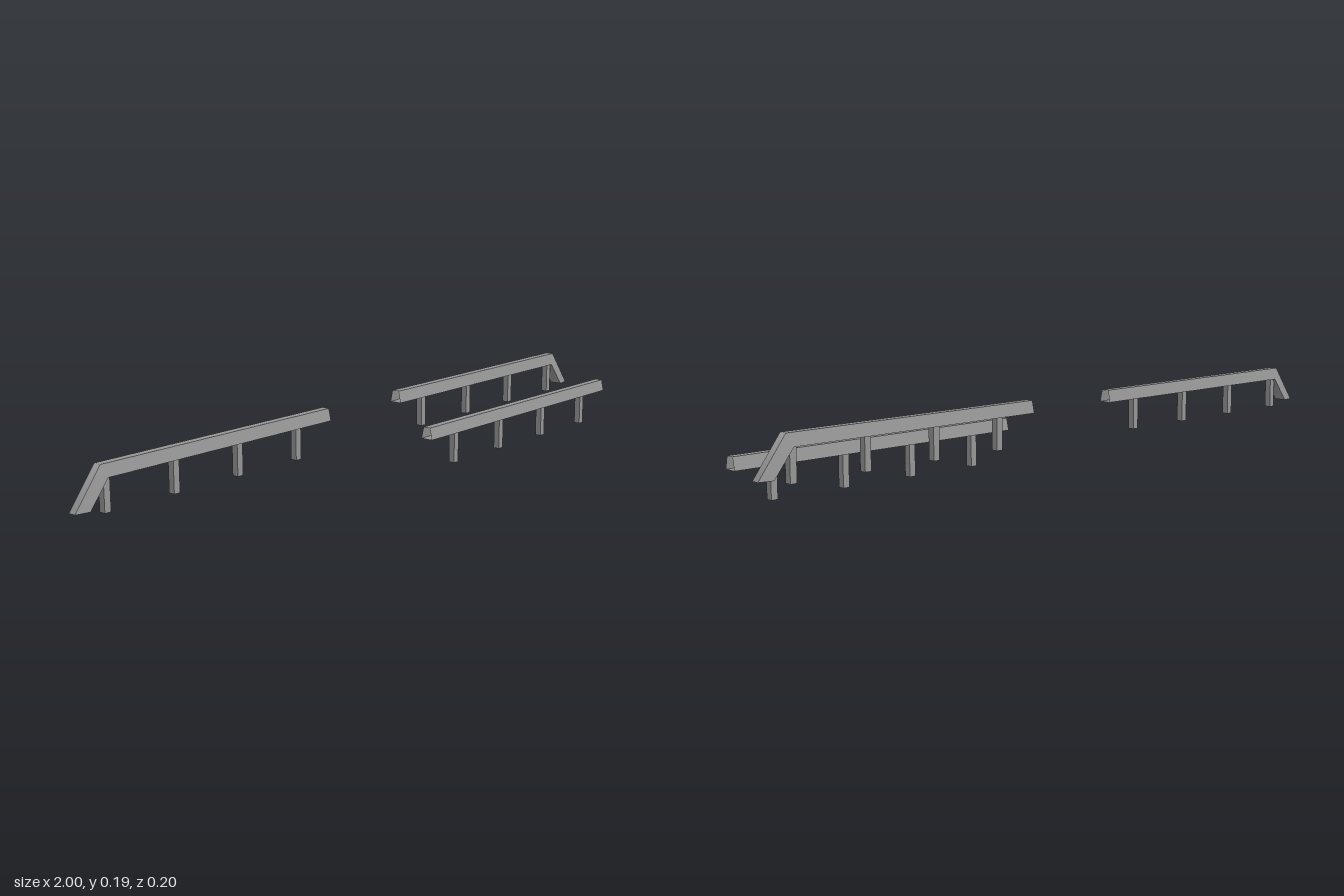
import * as THREE from 'three';

const material = new THREE.MeshStandardMaterial({ color: 0x969696, side: THREE.DoubleSide });
const TOP = 0.011, BOTTOM = 0.0182; // half widths of the trapezoid section
const POST = 0.0185;

// Open-ended trapezoid tube; each station is [topX, topY, bottomX, bottomY], in order of rising x.
// Every side is its own strip, so the long edges stay sharp and the bend is smooth.
function railGeometry(stations) {
  const points = [], index = [];
  for (let side = 0; side < 4; side++) {
    const start = points.length / 3;
    stations.forEach(([tx, ty, bx, by], s) => {
      const corners = [[tx, ty, TOP], [tx, ty, -TOP], [bx, by, -BOTTOM], [bx, by, BOTTOM]];
      points.push(...corners[side], ...corners[(side + 1) % 4]);
      const a = start + s * 2;
      if (s < stations.length - 1) index.push(a, a + 2, a + 1, a + 1, a + 2, a + 3);
    });
  }
  const geometry = new THREE.BufferGeometry();
  geometry.setAttribute('position', new THREE.Float32BufferAttribute(points, 3));
  geometry.setIndex(index);
  geometry.computeVertexNormals();
  return geometry;
}

// One barrier: a rail carried by four evenly spaced posts
function barrier(name, stations, firstPost, postBase, postTop, railZ, postZ) {
  const group = new THREE.Group();
  group.name = name;
  const rail = new THREE.Mesh(railGeometry(stations), material);
  rail.name = 'rail';
  rail.position.z = railZ;
  group.add(rail);

  const height = postTop - postBase;
  for (let i = 0; i < 4; i++) {
    const post = new THREE.Mesh(new THREE.BoxGeometry(POST, height, POST), material);
    post.name = 'post';
    post.position.set(firstPost + i * 0.2135, postBase + height / 2, postZ);
    group.add(post);
  }
  return group;
}

export function createModel() {
  const model = new THREE.Group();
  model.name = 'guardrails';

  // Back rails: straight run, then a bend down to a level-cut end
  const left = [
    [0.146, 0.189, 0.146, 0.156],
    [0.922, 0.189, 0.906, 0.156],
    [1.0, 0.086, 0.961, 0.086],
  ];
  const right = left.map(([tx, ty, bx, by]) => [-tx, ty, -bx, by]).reverse();
  model.add(barrier('backLeftBarrier', left, 0.262, 0.07, 0.157, -0.0825, -0.0825));
  model.add(barrier('backRightBarrier', right, -0.904, 0.07, 0.157, -0.0825, -0.0825));

  // Front rail: straight, open at both ends
  const front = [
    [0.081, 0.119, 0.081, 0.086],
    [0.956, 0.119, 0.956, 0.086],
  ];
  model.add(barrier('frontBarrier', front, 0.199, 0, 0.086, 0.0825, 0.0855));
  return model;
}
